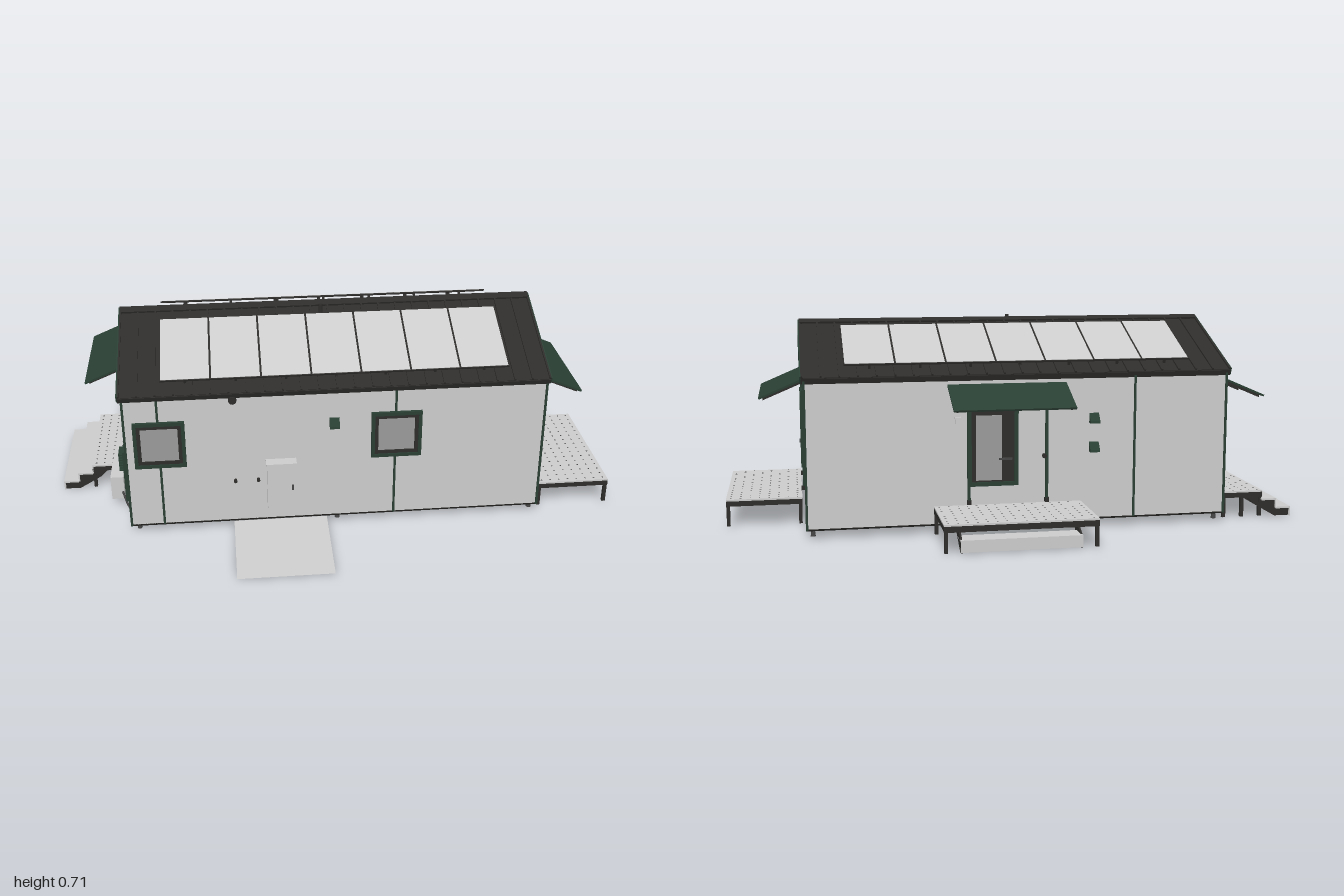
import * as THREE from 'three';
import { mergeGeometries } from 'three/addons/utils/BufferGeometryUtils.js';

const mat = (color) => new THREE.MeshStandardMaterial({ color });
const GREY = mat(0xcccccc), DARK = mat(0x2e2d2b), GREEN = mat(0x2a3f34), GLASS = mat(0x9a9a9a), STEEL = mat(0x444444);

function add(parent, name, geometry, material, x = 0, y = 0, z = 0) {
  const m = new THREE.Mesh(geometry, material);
  m.name = name;
  m.position.set(x, y, z);
  parent.add(m);
  return m;
}

// Box given by its limits on each axis
function box(parent, name, material, x0, x1, y0, y1, z0, z1) {
  return add(parent, name, new THREE.BoxGeometry(x1 - x0, y1 - y0, z1 - z0), material,
    (x0 + x1) / 2, (y0 + y1) / 2, (z0 + z1) / 2);
}

function group(parent, name, x = 0, y = 0, z = 0, ry = 0) {
  const g = new THREE.Group();
  g.name = name;
  g.position.set(x, y, z);
  g.rotation.y = ry;
  parent.add(g);
  return g;
}

function polygon(points) {
  return new THREE.Shape(points.map(([x, y]) => new THREE.Vector2(x, y)));
}

// Rectangular frame with a hole, facing +z
function frame(parent, name, material, x, y, z, w, h, t, depth) {
  const rect = (a, b) => [[-a, -b], [a, -b], [a, b], [-a, b]];
  const s = polygon(rect(w / 2, h / 2));
  s.holes.push(polygon(rect(w / 2 - t, h / 2 - t)));
  return add(parent, name, new THREE.ExtrudeGeometry(s, { depth, bevelEnabled: false }), material, x, y, z);
}

// Profile drawn in (z, y), extruded along x
function extrudeX(parent, name, material, points, x0, x1) {
  const g = new THREE.ExtrudeGeometry(polygon(points.map(([z, y]) => [-z, y])), { depth: x1 - x0, bevelEnabled: false });
  g.rotateY(Math.PI / 2);
  return add(parent, name, g, material, x0, 0, 0);
}

// Small hooded vent on a wall facing +z
function vent(parent, x, y, z, ry) {
  const g = group(parent, 'wallVent', x, y, z, ry);
  extrudeX(g, 'ventHood', GREEN, [[0, -0.016], [0.022, -0.016], [0.02, -0.008], [0, 0.018]].reverse(), -0.017, 0.017);
}

// Door, canopy and platform; local +z points away from the wall
function entrance(parent, name, x, z, ry, deckW, d0, d1) {
  const g = group(parent, name, x, 0, z, ry);
  // Door
  frame(g, 'doorFrame', GREEN, -0.051, 0.3, 0, 0.175, 0.275, 0.014, 0.012);
  box(g, 'doorLeaf', DARK, -0.126, 0.024, 0.175, 0.43, -0.005, 0.006);
  box(g, 'doorGlass', GLASS, -0.109, -0.02, 0.182, 0.405, 0, 0.008);
  box(g, 'doorHandle', STEEL, -0.03, 0.015, 0.252, 0.258, 0.006, 0.016);
  for (const sx of [-0.133, 0.136]) {
    box(g, 'wallStrip', GREEN, sx - 0.005, sx + 0.005, 0.1, 0.46, 0, 0.008);
    box(g, 'stripFoot', DARK, sx - 0.007, sx + 0.007, 0.1, 0.115, 0, 0.014);
  }
  box(g, 'wallLamp', GREY, -0.18, -0.16, 0.38, 0.402, 0, 0.012);
  // Sloping canopy
  extrudeX(g, 'canopy', GREEN, [[0, 0.504], [0.152, 0.44], [0.155, 0.446], [0, 0.512]], -0.204, 0.204);
  for (const sx of [-0.19, 0, 0.19])
    extrudeX(g, 'canopyRib', DARK, [[0, 0.495], [0.14, 0.436], [0.14, 0.446], [0, 0.505]], sx - 0.003, sx + 0.003);
  // Platform with perforated grating
  const h = deckW / 2, dc = (d0 + d1) / 2;
  box(g, 'deckTop', GREY, -h, h, 0.094, 0.1, d0, d1);
  for (const [a, b] of [[d0, d0 + 0.01], [d1 - 0.01, d1]]) box(g, 'deckBeam', DARK, -h, h, 0.074, 0.094, a, b);
  for (let i = 0; i <= 4; i++) {
    const jx = -h + 0.005 + (i * (deckW - 0.01)) / 4;
    box(g, 'deckJoist', DARK, jx - 0.005, jx + 0.005, 0.076, 0.094, d0, d1);
  }
  for (const lx of [-h + 0.007, h - 0.007])
    for (const lz of [d0 + 0.007, dc, d1 - 0.007])
      if (lz !== dc || d1 < 0.2) box(g, 'deckLeg', DARK, lx - 0.006, lx + 0.006, 0.006, 0.094, lz - 0.006, lz + 0.006);
  const dots = [];
  const nx = Math.round(deckW / 0.032), nz = Math.round((d1 - d0) / 0.032);
  for (let i = 0; i < nx; i++)
    for (let j = 0; j < nz; j++)
      dots.push(new THREE.CircleGeometry(0.0035, 6).rotateX(-Math.PI / 2)
        .translate(-h + ((i + 0.5) * deckW) / nx, 0.1006, d0 + ((j + 0.5) * (d1 - d0)) / nz));
  add(g, 'gratingHoles', mergeGeometries(dots), STEEL);
  return g;
}

export function createModel() {
  const house = new THREE.Group();
  house.name = 'cabin';
  const X0 = -0.73, X1 = 0.725, ZF = 0.352, ZB = -0.4, ZR = -0.022;

  // Walls, floor and jacks
  extrudeX(house, 'walls', GREY, [[ZF, 0.036], [ZF, 0.535], [ZR, 0.69], [ZB, 0.535], [ZB, 0.036]], X0, X1);
  box(house, 'floor', mat(0x1f1e1c), X0, X1, 0.03, 0.037, ZB, ZF);
  for (const x of [-0.705, 0, 0.705])
    for (const z of [ZB + 0.025, ZF - 0.025])
      add(house, 'jack', new THREE.CylinderGeometry(0.006, 0.009, 0.025, 10), STEEL, x, 0.02, z);
  for (const x of [X0, X1])
    for (const z of [ZB, ZF]) box(house, 'cornerTrim', GREEN, x - 0.004, x + 0.004, 0.032, 0.538, z - 0.004, z + 0.004);
  for (const x of [-0.615, 0.2]) box(house, 'frontStrip', GREEN, x - 0.004, x + 0.004, 0.034, 0.537, ZF, ZF + 0.003);
  box(house, 'backStrip', GREEN, -0.404, -0.396, 0.034, 0.537, ZB - 0.003, ZB);

  // Roof halves with standing seams and solar panels
  const slope = Math.atan2(0.161, 0.384), len = 0.416;
  [0, Math.PI].forEach((ry) => {
    const r = group(house, 'roofSlope', -0.004, 0.705, ZR);
    r.rotation.set(slope, ry, 0, 'YXZ');
    box(r, 'roofSheet', DARK, -0.738, 0.738, -0.02, 0, 0, len);
    for (let i = 0; i <= 24; i++) {
      const x = -0.735 + i * 0.06125;
      box(r, 'roofSeam', DARK, x - 0.003, x + 0.003, 0, 0.006, 0, len);
    }
    for (const x of [-0.74, 0.74]) box(r, 'vergeTrim', GREEN, x - 0.002, x + 0.002, -0.022, 0.004, 0, len);
    box(r, 'ridgeCap', DARK, -0.738, 0.738, 0, 0.007, 0, 0.025);
    box(r, 'eaveGutter', DARK, -0.738, 0.738, -0.022, -0.002, len - 0.006, len + 0.003);
    for (let i = 0; i < 7; i++) {
      const p = group(r, 'solarPanel', -0.5115 + i * 0.1707, 0.018, 0.223);
      box(p, 'panelFrame', DARK, -0.0853, 0.0853, -0.003, 0.003, -0.1445, 0.1445);
      box(p, 'panelGlass', GREY, -0.082, 0.082, 0, 0.0042, -0.141, 0.141);
      for (const z of [-0.1, 0.1, 0.136]) box(p, 'panelMount', DARK, -0.004, 0.004, -0.018, -0.003, z - 0.004, z + 0.004);
    }
  });
  add(house, 'roofPipe', new THREE.CylinderGeometry(0.007, 0.007, 0.035, 12), DARK, -0.03, 0.698, 0.028);

  // Front windows
  for (const x of [-0.613, 0.203]) {
    const w = group(house, 'window', x, 0.355, ZF);
    frame(w, 'windowFrame', GREEN, 0, 0, 0, 0.176, 0.174, 0.012, 0.012);
    frame(w, 'windowSash', DARK, 0, 0, 0, 0.153, 0.151, 0.013, 0.008);
    box(w, 'windowPane', GLASS, -0.065, 0.065, -0.064, 0.064, -0.002, 0.004);
  }

  // Front cabinet, vents, fittings and ramp
  box(house, 'cabinet', GREY, -0.25, -0.15, 0.095, 0.27, ZF, 0.388);
  box(house, 'cabinetLid', GREY, -0.253, -0.147, 0.27, 0.276, ZF, 0.392);
  box(house, 'cabinetLatch', STEEL, -0.165, -0.159, 0.17, 0.19, 0.388, 0.392);
  add(house, 'roundVent', new THREE.CylinderGeometry(0.014, 0.014, 0.012, 16).rotateX(Math.PI / 2), DARK, -0.36, 0.515, ZF + 0.005);
  for (const x of [-0.36, -0.28])
    add(house, 'wallSocket', new THREE.CylinderGeometry(0.006, 0.006, 0.014, 10).rotateX(Math.PI / 2), DARK, x, 0.198, ZF + 0.005);
  vent(house, -0.013, 0.41, ZF, 0);
  const ramp = new THREE.PlaneGeometry(0.33, Math.hypot(0.308, 0.028)).rotateX(-Math.PI / 2 + Math.atan2(0.028, 0.308));
  const rampMat = mat(0xcccccc);
  rampMat.side = THREE.DoubleSide;
  add(house, 'ramp', ramp, rampMat, -0.205, 0.016, 0.508);

  // Back vents
  for (const y of [0.385, 0.285]) vent(house, -0.255, y, ZB, Math.PI);
  add(house, 'backSocket', new THREE.CylinderGeometry(0.008, 0.008, 0.014, 10).rotateX(Math.PI / 2), DARK, -0.08, 0.26, ZB - 0.005);

  // Entrances on three sides
  entrance(house, 'sideEntrance', X1, 0.066, Math.PI / 2, 0.508, 0.012, 0.273);
  const back = entrance(house, 'backEntrance', 0.0475, ZB, Math.PI, 0.508, 0.012, 0.27);
  const steps = entrance(house, 'stairEntrance', X0, -0.167, -Math.PI / 2, 0.405, 0.01, 0.16);

  // Low step tucked under the back platform
  box(back, 'stepTread', GREY, -0.2, 0.2, 0.04, 0.046, 0.2, 0.268);
  box(back, 'stepRiser', GREY, -0.2, 0.2, 0.006, 0.04, 0.262, 0.268);
  for (const x of [-0.2, 0.194])
    extrudeX(back, 'stepStringer', DARK, [[0.12, 0.076], [0.25, 0.004], [0.266, 0.004], [0.266, 0.04], [0.2, 0.076]], x, x + 0.006);

  // Stair flight with closed risers
  [[0.16, 0.215, 0.068], [0.215, 0.27, 0.036]].forEach(([a, b, top]) => {
    box(steps, 'stairTread', GREY, -0.2025, 0.2025, top - 0.006, top, a, b);
    box(steps, 'stairRiser', GREY, -0.2025, 0.2025, top - 0.034, top - 0.006, b - 0.005, b);
  });
  box(steps, 'stairTopRiser', GREY, -0.2025, 0.2025, 0.066, 0.094, 0.156, 0.161);
  for (const x of [-0.2, -0.07, 0.062, 0.192])
    extrudeX(steps, 'stairStringer', DARK, [[0.1, 0.08], [0.13, 0.05], [0.21, 0.004], [0.264, 0.004], [0.264, 0.03],
      [0.212, 0.03], [0.212, 0.062], [0.158, 0.062], [0.158, 0.08]], x, x + 0.008);

  // Heat pump, louvre and pipe on the stair end
  const ac = group(house, 'heatPump', -0.787, 0.085, 0.118);
  box(ac, 'heatPumpCase', GREY, -0.023, 0.023, -0.045, 0.045, -0.063, 0.063);
  add(ac, 'fanRing', new THREE.TorusGeometry(0.032, 0.003, 8, 24).rotateY(Math.PI / 2), STEEL, -0.023, 0, -0.018);
  for (const z of [-0.045, 0.045]) box(ac, 'heatPumpBracket', DARK, -0.02, 0.06, -0.05, -0.044, z - 0.004, z + 0.004);
  box(house, 'louvrePanel', GREEN, -0.748, X0, 0.1, 0.3, 0.235, 0.3);
  for (let i = 0; i < 7; i++) box(house, 'louvreSlat', GREEN, -0.762, -0.748, 0.225 + i * 0.01, 0.23 + i * 0.01, 0.238, 0.297);
  const path = new THREE.CatmullRomCurve3([[-0.77, 0.07, 0.18], [-0.755, 0.03, 0.2], [-0.745, 0.015, 0.21], [-0.74, 0.04, 0.218], [-0.734, 0.12, 0.218]]
    .map((p) => new THREE.Vector3(...p)));
  add(house, 'pipe', new THREE.TubeGeometry(path, 24, 0.004, 8), STEEL);

  return house;
}
